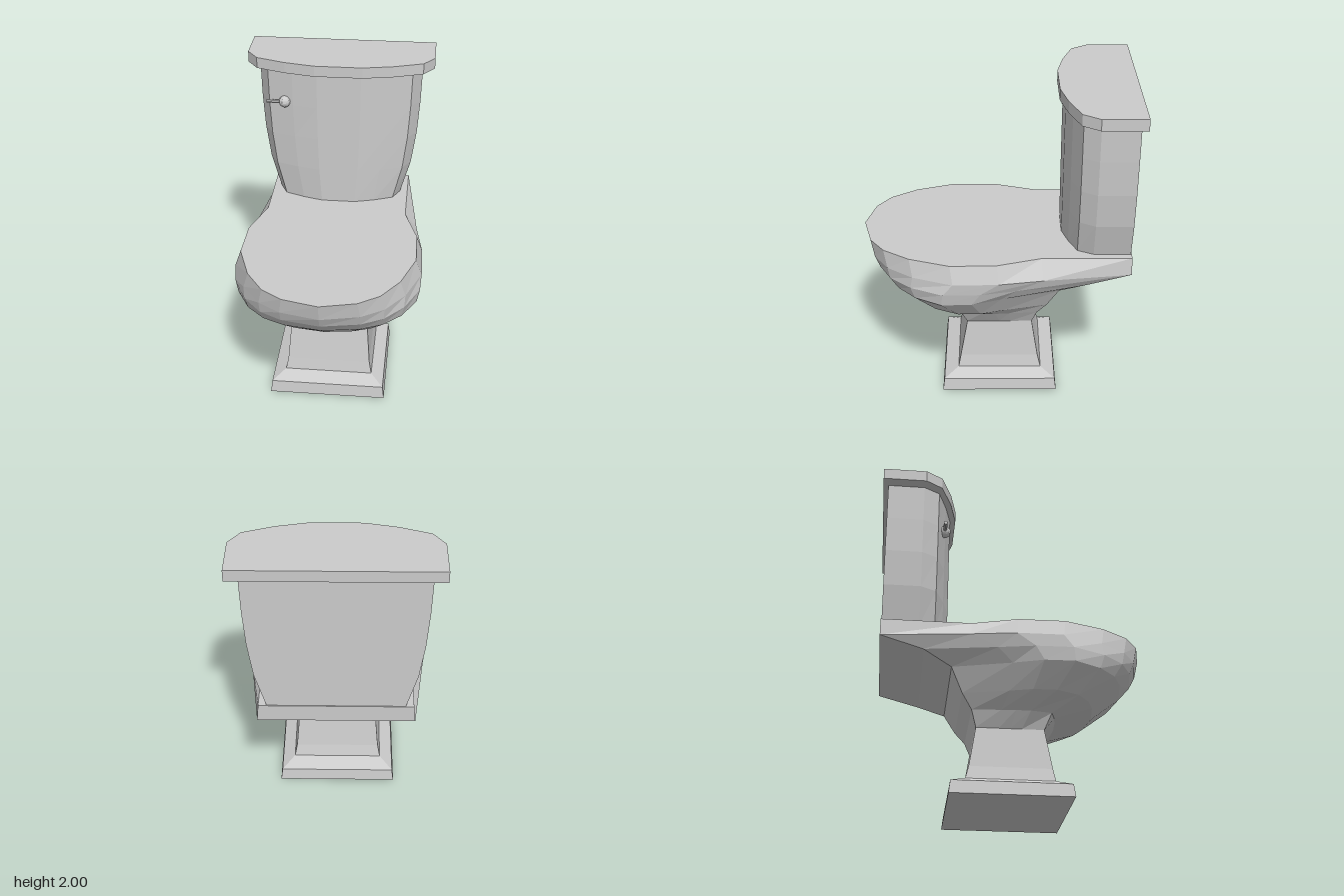
import * as THREE from 'three';

const material = new THREE.MeshStandardMaterial({ color: 0xcccccc, flatShading: true });

function addMesh(parent, name, geometry) {
  const mesh = new THREE.Mesh(geometry, material);
  mesh.name = name;
  parent.add(mesh);
  return mesh;
}

// Mirror a half outline (back to front on the +x side) into a closed ring.
function mirrorRing(half, y) {
  const right = half.map(([x, z]) => [x, y, z]);
  const left = half.filter(([x]) => x > 0).reverse().map(([x, z]) => [-x, y, z]);
  return [...right, ...left];
}

// Skin rings listed from bottom to top and close both ends.
function loft(rings) {
  const n = rings[0].length;
  const pos = rings.flat(2);
  const index = [];
  for (let r = 0; r < rings.length - 1; r++) {
    for (let i = 0; i < n; i++) {
      const a = r * n + i, b = r * n + (i + 1) % n;
      index.push(a, a + n, b, b, a + n, b + n);
    }
  }
  const cap = (r, top) => {
    const centre = pos.length / 3;
    for (let k = 0; k < 3; k++) pos.push(rings[r].reduce((s, p) => s + p[k], 0) / n);
    for (let i = 0; i < n; i++) {
      const a = r * n + i, b = r * n + (i + 1) % n;
      if (top) index.push(centre, b, a);
      else index.push(centre, a, b);
    }
  };
  cap(0, false);
  cap(rings.length - 1, true);
  const indexed = new THREE.BufferGeometry();
  indexed.setAttribute('position', new THREE.Float32BufferAttribute(pos, 3));
  indexed.setIndex(index);
  const geometry = indexed.toNonIndexed();
  geometry.computeVertexNormals();
  return geometry;
}

// Square stepped foot: y, half width, back z, front z.
function pedestalGeometry() {
  const levels = [
    [0, 0.37, -0.38, 0.35],
    [0.08, 0.36, -0.37, 0.34],
    [0.12, 0.28, -0.28, 0.25],
    [0.2, 0.265, -0.26, 0.235],
    [0.45, 0.245, -0.22, 0.19],
  ];
  return loft(levels.map(([y, w, back, front]) => mirrorRing([[w, back], [w, front]], y)));
}

// Bowl: an oval with a square back that blends into the square pedestal top.
function bowlGeometry() {
  const lerp = THREE.MathUtils.lerp;
  // y, half width, back half width, back z, front z, side flare, squareness
  const levels = [
    [0.45, 0.245, 0.245, -0.22, 0.19, 1, 1],
    [0.545, 0.31, 0.27, -0.25, 0.28, 0.6, 0.5],
    [0.63, 0.44, 0.32, -0.31, 0.52, 0.6, 0.1],
    [0.77, 0.555, 0.39, -0.38, 0.7, 0.6, 0],
    [0.85, 0.572, 0.45, -0.55, 0.77, 0.6, 0],
    [0.925, 0.578, 0.46, -0.81, 0.81, 0.58, 0],
    [1.035, 0.54, 0.45, -0.81, 0.835, 0, 0],
  ];
  return loft(levels.map(([y, w, backW, back, front, flare, square]) => {
    const b = backW / w;
    const oval = [
      [b, 0], [lerp(b, 1, flare), 0.33], [0.99, 0.495], [1, 0.665],
      [0.845, 0.815], [0.645, 0.913], [0.41, 0.967], [0, 1],
    ];
    const box = [
      [1, 0], [1, 0.33], [1, 0.5], [1, 0.67], [1, 1], [0.65, 1], [0.35, 1], [0, 1],
    ];
    const half = oval.map(([u, v], i) => [
      w * lerp(u, box[i][0], square),
      lerp(back, front, lerp(v, box[i][1], square)),
    ]);
    return mirrorRing(half, y);
  }));
}

// Cistern body: bowed front, narrowing towards the bottom.
function tankGeometry() {
  const outline = [[0.52, -0.805], [0.52, -0.58], [0.46, -0.485], [0.3, -0.435], [0.14, -0.4]];
  const levels = [[1.03, 0.77], [1.26, 0.895], [1.48, 0.955], [1.7, 0.985], [1.94, 1]];
  return loft(levels.map(([y, s]) => mirrorRing(outline.map(([x, z]) => [x * s, z]), y)));
}

function lidGeometry() {
  const outline = [[0.595, -0.835], [0.595, -0.57], [0.525, -0.47], [0.34, -0.405], [0.15, -0.365]];
  return loft([1.93, 2].map((y) => mirrorRing(outline, y)));
}

export function createModel() {
  const group = new THREE.Group();
  group.name = 'toilet';

  addMesh(group, 'pedestal', pedestalGeometry());
  addMesh(group, 'bowl', bowlGeometry());
  addMesh(group, 'tank', tankGeometry());
  addMesh(group, 'tankLid', lidGeometry());

  // Flush lever with a ball end
  const flush = new THREE.Group();
  flush.name = 'flushHandle';
  flush.position.set(-0.35, 1.72, -0.44);
  group.add(flush);
  addMesh(flush, 'handleKnob', new THREE.SphereGeometry(0.037, 10, 8));
  const rod = addMesh(flush, 'handleRod', new THREE.CylinderGeometry(0.012, 0.012, 0.115, 8));
  rod.rotation.z = Math.PI / 2;
  rod.position.x = -0.0575;

  return group;
}
